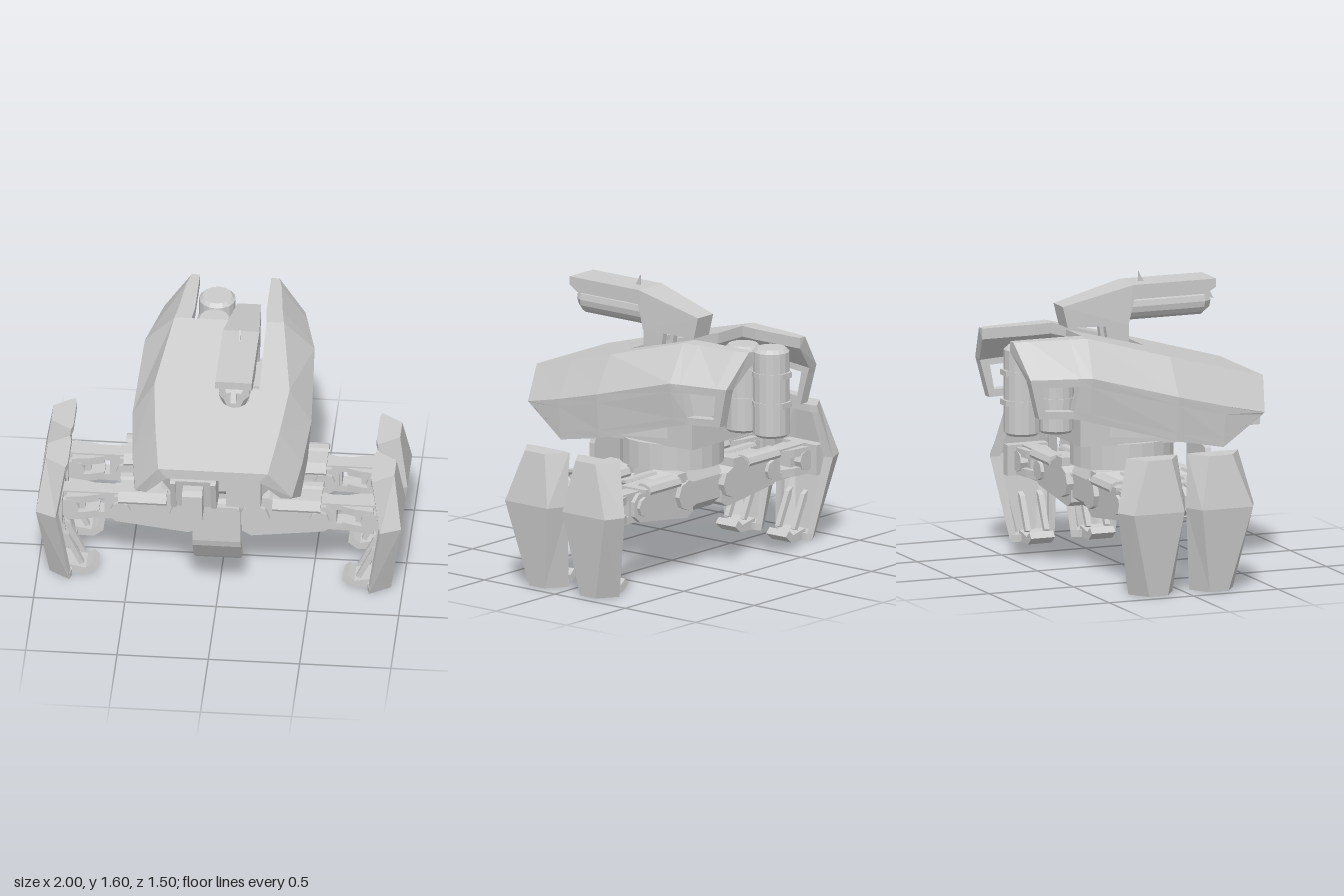
import * as THREE from 'three';
import { ConvexGeometry } from 'three/addons/geometries/ConvexGeometry.js';

const mat = new THREE.MeshStandardMaterial({ color: 0xcccccc, flatShading: true, side: THREE.DoubleSide });
const V = (x, y, z) => new THREE.Vector3(x, y, z);

function add(parent, name, geo) {
  const m = new THREE.Mesh(geo, mat);
  m.name = name;
  parent.add(m);
}
// box given by its limits
const box = (x0, x1, y0, y1, z0, z1) =>
  new THREE.BoxGeometry(x1 - x0, y1 - y0, z1 - z0).translate((x0 + x1) / 2, (y0 + y1) / 2, (z0 + z1) / 2);
// cylinder between two points
function rod(a, b, r, sides = 10, r2 = r) {
  const d = b.clone().sub(a);
  const g = new THREE.CylinderGeometry(r2, r, d.length(), sides);
  g.applyQuaternion(new THREE.Quaternion().setFromUnitVectors(V(0, 1, 0), d.clone().normalize()));
  return g.translate(...a.clone().add(b).multiplyScalar(0.5).toArray());
}
const shapeOf = pts => new THREE.Shape(pts.map(p => new THREE.Vector2(...p)));
function extrude(pts, depth, hole) {
  const s = shapeOf(pts);
  if (hole) s.holes.push(shapeOf(hole));
  return new THREE.ExtrudeGeometry(s, { depth, bevelEnabled: false });
}
// (x, y) outline drawn from z0 to z1
const alongZ = (pts, z0, z1, hole) => extrude(pts, z1 - z0, hole).translate(0, 0, z0);
// (z, y) outline drawn from x0 to x1
const alongX = (pts, x0, x1) => extrude(pts, x1 - x0).rotateY(-Math.PI / 2).translate(x1, 0, 0);

// thick shell from a grid of outer and inner points; keep(r, c) leaves openings
function shell(outer, inner, keep = () => true) {
  const pos = [], edges = new Map();
  const quad = (a, b, c, d) => [a, b, c, a, c, d].forEach(p => pos.push(p.x, p.y, p.z));
  for (let r = 0; r < outer.length - 1; r++) {
    for (let c = 0; c < outer[0].length - 1; c++) {
      if (!keep(r, c)) continue;
      const k = [[r, c], [r, c + 1], [r + 1, c + 1], [r + 1, c]];
      quad(...k.map(([i, j]) => outer[i][j]));
      quad(...k.map(([i, j]) => inner[i][j]).reverse());
      k.forEach((p, i) => {
        const q = k[(i + 1) % 4];
        if (!edges.delete(`${q}|${p}`)) edges.set(`${p}|${q}`, [p, q]);
      });
    }
  }
  for (const [[a, b], [c, d]] of edges.values()) quad(outer[c][d], outer[a][b], inner[a][b], inner[c][d]);
  const g = new THREE.BufferGeometry();
  g.setAttribute('position', new THREE.Float32BufferAttribute(pos, 3));
  g.computeVertexNormals();
  return g;
}

// armoured hull: stations front to back, each with ridge, middle and bottom points
function hullGeometry() {
  const stations = [
    [[0.30, 1.05, 0.71], [0.43, 0.87, 0.665], [0.425, 0.855, 0.65]],
    [[0.34, 1.128, 0.42], [0.465, 0.928, 0.42], [0.455, 0.70, 0.41]],
    [[0.37, 1.207, 0.13], [0.49, 1.004, 0.13], [0.47, 0.755, 0.13]],
    [[0.30, 1.33, -0.33], [0.465, 1.14, -0.37], [0.43, 0.895, -0.38]],
    [[0.285, 1.33, -0.43], [0.45, 1.14, -0.43], [0.42, 0.915, -0.47]],
    [[0.26, 1.33, -0.66], [0.40, 1.14, -0.645], [0.385, 0.92, -0.61]],
    [[0.24, 1.33, -0.745], [0.385, 1.14, -0.705], [0.375, 0.92, -0.65]],
  ];
  const outer = [], inner = [];
  stations.forEach(([ridge, mid, bot], i) => {
    const [R, M, B] = [ridge, mid, bot].map(p => V(...p));
    const slot = i < 4 ? 0.205 : 0.195;
    const half = [B, M.clone().lerp(B, 0.82), M.clone().lerp(B, 0.2), M, R, V(slot, R.y, R.z)];
    const thin = [[0.06, 0], [0.06, 0], [0.06, 0], [0.06, 0.01], [0.045, 0.06], [0, 0.06]];
    const halfIn = half.map((p, k) => V(p.x - thin[k][0], p.y - thin[k][1], p.z));
    const full = (h, y) => [...h.map(p => V(-p.x, p.y, p.z)), V(0, y, R.z), ...[...h].reverse()];
    outer.push(full(half, R.y));
    inner.push(full(halfIn, R.y - 0.06));
  });
  return shell(outer, inner, (r, c) => {
    if (r >= 3 && (c === 5 || c === 6)) return false; // rear notch
    if (r >= 2 && c === 6) return false;              // weapon slot
    return !(r === 4 && (c === 1 || c === 10));       // side windows
  });
}

// leg shield: hollow, widest in the middle
function buildFoot(leg) {
  const rows = [ // y, z centre, wide half, outer half, wide x, outer x
    [0.76, 0.18, 0.15, 0.07, 0.84, 0.955],
    [0.47, 0.203, 0.2, 0.15, 0.888, 1.0],
    [0, 0.18, 0.13, 0.055, 0.82, 0.935],
  ];
  const outer = [], inner = [];
  for (const [y, zc, w, o, xw, xo] of rows) {
    outer.push([[-w * 0.72, xw - 0.01], [-w, xw], [-o, xo], [o, xo], [w, xw], [w * 0.72, xw - 0.01]]
      .map(([z, x]) => V(x, y, zc + z)));
    inner.push([[-w * 0.72, xw + 0.015], [-w * 0.84, xw + 0.02], [-o * 0.85, xo - 0.04],
      [o * 0.85, xo - 0.04], [w * 0.84, xw + 0.02], [w * 0.72, xw + 0.015]].map(([z, x]) => V(x, y, zc + z)));
  }
  add(leg, 'footShield', shell(outer, inner));
  [[0, -0.04], [2, 0.04]].forEach(([i, dy]) => add(leg, 'footCap',
    new ConvexGeometry(outer[i].flatMap(p => [p, V(p.x, p.y + dy, p.z)]))));
  add(leg, 'footCrossbar', box(0.86, 0.92, 0.36, 0.53, 0.07, 0.31));
  // claw and its brace
  add(leg, 'claw', alongZ([[0.84, 0], [0.72, 0], [0.67, 0.04], [0.70, 0.07], [0.735, 0.04], [0.84, 0.06]], 0.11, 0.25));
  for (const z of [0.11, 0.22]) {
    add(leg, 'clawBrace', alongZ([[0.86, 0.27], [0.85, 0.22], [0.77, 0.06], [0.745, 0.07], [0.83, 0.25]], z, z + 0.03));
  }
}

function buildLeg(sx, sz) {
  const leg = new THREE.Group(), C = 0.18;
  leg.name = (sz > 0 ? 'front' : 'rear') + (sx > 0 ? 'Left' : 'Right') + 'Leg';
  add(leg, 'upperArm', alongZ([[0.12, 0.34], [0.17, 0.31], [0.57, 0.36], [0.62, 0.4], [0.62, 0.48], [0.58, 0.52],
    [0.25, 0.53], [0.12, 0.5]], C - 0.07, C + 0.07));
  add(leg, 'forearm', alongZ([[0.5, 0.36], [0.88, 0.36], [0.88, 0.53], [0.5, 0.53]], C - 0.045, C + 0.045,
    [[0.635, 0.4], [0.74, 0.4], [0.74, 0.49], [0.635, 0.49]]));
  // joints
  for (const [x, r, w] of [[0.19, 0.085, 0.1], [0.545, 0.055, 0.09], [0.83, 0.06, 0.09]]) {
    add(leg, 'joint', rod(V(x, 0.445, C - w), V(x, 0.445, C + w), r, 8));
  }
  // flared ankle brackets above and below the hinge
  for (const y of [0.37, 0.475]) {
    const pts = [];
    for (const dy of [0, 0.045]) for (const s of [-1, 1]) pts.push(V(0.665, y + dy, C + s * 0.05),
      V(0.74, y + dy, C + s * 0.075), V(0.84, y + dy, C + s * 0.09));
    add(leg, 'ankleBracket', new ConvexGeometry(pts));
  }
  // pair of rounded covers beside the arm, drawn from high z to low z
  for (const s of [-1, 1]) {
    const path = [[0.05, 0.575], [0.09, 0.575], [0.118, 0.565], [0.133, 0.535]];
    if (s > 0) path.reverse();
    const grid = t => path.map(([z, y]) => [0.29, 0.555].map(x => V(x, y - t, C + s * (z - t * 0.5))));
    add(leg, 'armCover', shell(grid(0), grid(0.016)));
  }
  add(leg, 'coverBase', alongZ([[0.2, 0.52], [0.55, 0.52], [0.55, 0.54], [0.33, 0.54], [0.27, 0.575], [0.2, 0.575]],
    C - 0.09, C + 0.09));
  buildFoot(leg);
  leg.scale.set(sx, 1, sz);
  return leg;
}

function buildGun() {
  const gun = new THREE.Group();
  gun.name = 'gun';
  add(gun, 'gunHousing', alongX([[0.56, 1.545], [0.07, 1.545], [0.075, 1.465], [0.505, 1.465], [0.56, 1.5]], 0, 0.2));
  // narrowing rear housing
  const rear = [[0.07, 1.545, 1], [0.075, 1.465, 1], [0.04, 1.325, 1], [-0.33, 1.445, 0.65], [-0.30, 1.325, 0.65]];
  add(gun, 'gunRear', new ConvexGeometry(rear.flatMap(([z, y, k]) =>
    [V(0.1 + (1 - k) * 0.03 - 0.1 * k, y, z), V(0.1 + (1 - k) * 0.03 + 0.1 * k, y, z)])));
  add(gun, 'barrel', rod(V(0.1, 1.42, 0.03), V(0.1, 1.42, 0.5), 0.085, 16));
  add(gun, 'muzzle', rod(V(0.1, 1.42, 0.5), V(0.1, 1.42, 0.545), 0.085, 8, 0.055));
  add(gun, 'frontSight', alongX([[0.58, 1.42], [0.54, 1.43], [0.54, 1.5]], 0.085, 0.115));
  add(gun, 'topSight', alongX([[0.17, 1.545], [0.14, 1.545], [0.14, 1.6]], 0.095, 0.105));
  // mount posts
  for (const x of [0.04, 0.135]) {
    add(gun, 'mountPost', alongX([[0.06, 1.33], [-0.08, 1.33], [-0.06, 1.2], [-0.04, 1.1], [0.06, 1.1]], x, x + 0.035));
  }
  add(gun, 'mountBar', box(0.04, 0.17, 1.265, 1.29, -0.05, 0));
  add(gun, 'mountBase', box(0, 0.205, 1.1, 1.2, -0.08, 0.1));
  return gun;
}

// curved plate hanging at the front: rows of y, z, half width
function frontShieldGeometry() {
  const rows = [[0.645, 0.475, 0.105], [0.635, 0.475, 0.123], [0.61, 0.475, 0.132], [0.42, 0.475, 0.132],
    [0.38, 0.465, 0.132], [0.32, 0.425, 0.132], [0.26, 0.385, 0.132], [0.24, 0.37, 0.123], [0.235, 0.36, 0.105]];
  const grid = (dy, dz) => rows.map(([y, z, w], i) => [w, -w].map(x => V(x, y + (i > 3 ? dy : 0), z - dz)));
  return shell(grid(0, 0), grid(0.02, 0.035));
}

export function createModel() {
  const model = new THREE.Group();
  model.name = 'walker';
  add(model, 'hull', hullGeometry());

  // inner body
  add(model, 'core', alongX([[0.42, 0.70], [0.54, 0.80], [0.54, 0.985], [0.1, 1.12], [-0.28, 1.12], [-0.35, 0.88],
    [-0.35, 0.72]], -0.25, 0.25));
  for (const s of [-1, 1]) {
    const wall = [[0.24, 0.52], [0.37, 0.3], [0.37, 0.1], [0.24, -0.2]];
    add(model, 'coreSide', new ConvexGeometry(wall.flatMap(([x, z]) => [V(s * x, 0.76, z), V(s * x, 0.98, z)])));
  }
  add(model, 'frontPanel', box(0.06, 0.25, 0.73, 0.98, 0.5, 0.58));

  // sensor head
  add(model, 'sensorBox', alongX([[0.5, 0.74], [0.65, 0.77], [0.69, 0.96], [0.5, 0.97]], -0.21, -0.01));
  add(model, 'sensorHood', alongX([[0.6, 0.75], [0.75, 0.75], [0.75, 0.9], [0.735, 0.93], [0.6, 0.93]], -0.165, -0.055));
  for (const x of [-0.235, -0.015]) {
    add(model, 'sensorCheek', alongX([[0.5, 0.74], [0.65, 0.76], [0.71, 0.955], [0.69, 0.96], [0.5, 0.97]], x, x + 0.03));
  }
  add(model, 'chinLamp', box(-0.07, 0.01, 0.71, 0.75, 0.46, 0.54));

  // turret ring and chassis
  add(model, 'turretRing', rod(V(0, 0.57, 0), V(0, 0.72, 0), 0.285, 24));
  add(model, 'chassis', alongX([[0.24, 0.37], [0.24, 0.5], [0.2, 0.58], [-0.2, 0.58], [-0.24, 0.5], [-0.24, 0.37],
    [-0.16, 0.31], [0.16, 0.31]], -0.14, 0.14));
  add(model, 'chassisCross', box(-0.22, 0.22, 0.35, 0.57, -0.12, 0.12));
  add(model, 'frontShield', frontShieldGeometry());
  add(model, 'shieldBracket', box(-0.06, 0.06, 0.33, 0.4, 0.22, 0.42));

  // rear tanks with straps
  for (const [z, top] of [[-0.63, 1.28], [-0.43, 1.27]]) {
    const prof = [[0, 0.785], [0.085, 0.785], [0.1, 0.8], [0.1, top - 0.02], [0.08, top], [0, top]];
    add(model, 'tank', new THREE.LatheGeometry(prof.map(p => new THREE.Vector2(...p)), 16).translate(-0.09, 0, z));
    for (const y of [0.97, 1.135]) add(model, 'tankStrap', rod(V(-0.09, y - 0.013, z), V(-0.09, y + 0.013, z), 0.106, 16));
  }
  for (const y of [0.97, 1.135]) add(model, 'tankClip', box(-0.13, -0.05, y - 0.015, y + 0.015, -0.742, -0.3));

  model.add(buildGun());
  for (const sx of [1, -1]) for (const sz of [1, -1]) model.add(buildLeg(sx, sz));
  return model;
}
